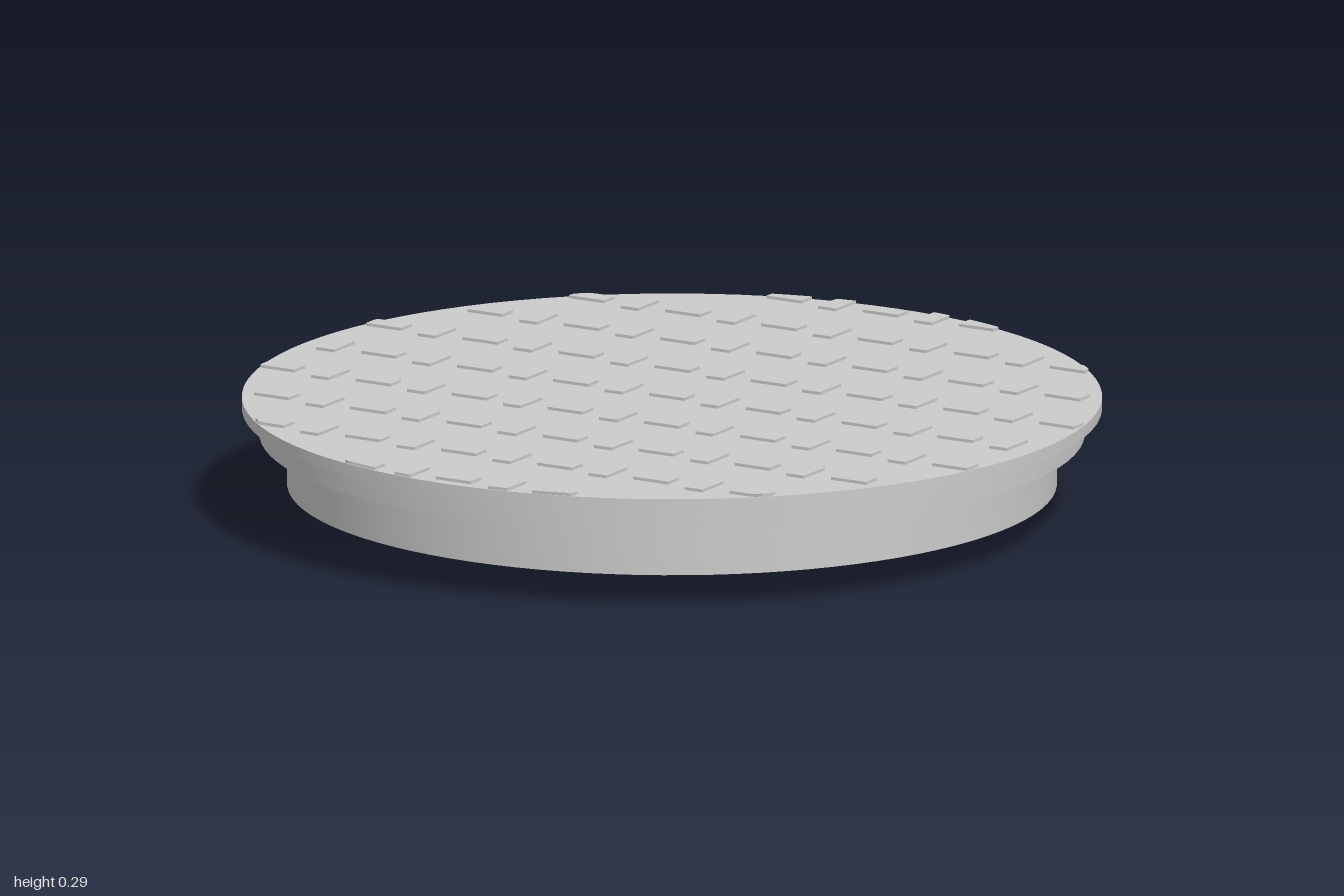
import * as THREE from 'three';
import { toCreasedNormals } from 'three/addons/utils/BufferGeometryUtils.js';

const material = new THREE.MeshStandardMaterial({ color: 0xcccccc });
const PLATE_TOP = 0.283, CEILING = 0.255, WALL = 0.02;

function addMesh(parent, name, geometry) {
  const mesh = new THREE.Mesh(geometry, material);
  mesh.name = name;
  parent.add(mesh);
  return mesh;
}

// Revolved profile with sharp corners, smooth around the axis
function lathe(points) {
  const profile = points.map(([r, y]) => new THREE.Vector2(r, y));
  return toCreasedNormals(new THREE.LatheGeometry(profile, 96), 0.6);
}

// Radial web: an (r, y) outline given a small thickness
function webGeometry(points) {
  const shape = new THREE.Shape(points.map(([r, y]) => new THREE.Vector2(r, y)));
  const geometry = new THREE.ExtrudeGeometry(shape, { depth: WALL, bevelEnabled: false });
  return geometry.translate(0, 0, -WALL / 2);
}

function addWebs(parent, name, count, points) {
  const geometry = webGeometry(points);
  for (let i = 0; i < count; i++) {
    addMesh(parent, name, geometry).rotation.y = (i / count) * Math.PI * 2;
  }
}

// Raised tread pad, trimmed where it would pass the edge of the plate
function padGeometry(x, z, width, depth) {
  const height = 0.008;
  const geometry = new THREE.BoxGeometry(width, height, depth, 4, 1, 4);
  geometry.translate(x, PLATE_TOP + height / 2 - 0.001, z);
  const p = geometry.attributes.position;
  for (let i = 0; i < p.count; i++) {
    const r = Math.hypot(p.getX(i), p.getZ(i));
    if (r > 0.997) {
      p.setX(i, p.getX(i) * 0.997 / r);
      p.setZ(i, p.getZ(i) * 0.997 / r);
    }
  }
  return geometry;
}

export function createModel() {
  const model = new THREE.Group();
  model.name = 'accessCover';

  // Stepped plate with a hollow skirt beneath
  addMesh(model, 'coverShell', lathe([
    [0, CEILING], [0.875, CEILING], [0.875, 0.075], [0.895, 0.075],
    [0.895, 0.195], [0.96, 0.195], [0.96, 0.255], [1, 0.255],
    [1, PLATE_TOP], [0, PLATE_TOP],
  ]));

  // Concentric stiffening rings
  const underside = new THREE.Group();
  underside.name = 'undersideRibs';
  model.add(underside);
  for (const [name, r] of [['innerRing', 0.295], ['middleRing', 0.575]]) {
    addMesh(underside, name, lathe([
      [r - WALL, 0], [r, 0], [r, CEILING], [r - WALL, CEILING], [r - WALL, 0],
    ]));
  }

  // Radial ribs: flat inside, sloping up to the skirt outside
  addWebs(underside, 'innerRib', 8, [[0, 0], [0.285, 0], [0.285, CEILING], [0, CEILING]]);
  addWebs(underside, 'middleRib', 8, [[0.285, 0], [0.565, 0], [0.565, CEILING], [0.285, CEILING]]);
  addWebs(underside, 'outerRib', 16, [[0.565, 0], [0.575, 0], [0.89, 0.075], [0.89, CEILING], [0.565, CEILING]]);

  // Tread pads, alternating lengthwise and crosswise
  const tread = new THREE.Group();
  tread.name = 'treadPads';
  model.add(tread);
  const pitchX = 0.131, pitchZ = 0.2375, long = 0.095, short = 0.048;
  for (let row = -4; row <= 4; row++) {
    for (let col = -7; col <= 7; col++) {
      const x = col * pitchX, z = row * pitchZ;
      if (Math.hypot(x, z) > 0.99) continue;
      const lengthwise = (row + col) % 2 === 0;
      addMesh(tread, 'treadPad', padGeometry(x, z, lengthwise ? long : short, lengthwise ? short : long));
    }
  }
  return model;
}
